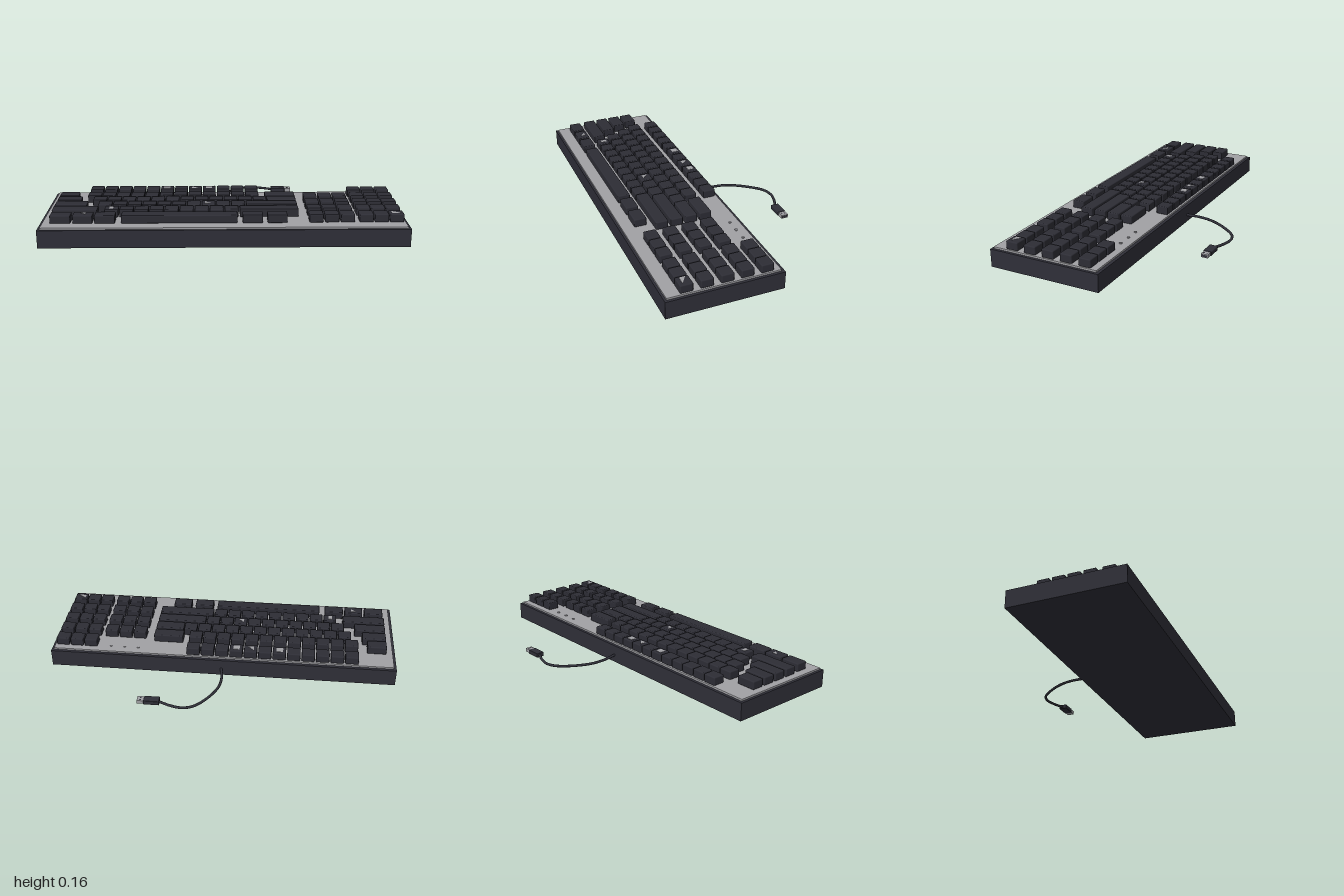
import * as THREE from 'three';
import { RoundedBoxGeometry } from 'three/addons/geometries/RoundedBoxGeometry.js';

const material = (name, color) => {
  const m = new THREE.MeshStandardMaterial({ color });
  m.name = name;
  return m;
};

export function createModel() {
  const model = new THREE.Group();
  const dark = material('charcoal case', 0x2f2f38);
  const keyDark = material('charcoal keys', 0x2d2d35);
  const grey = material('light grey', 0xa1a1a5);

  const add = (name, geometry, mat, x, y, z, parent = model) => {
    const mesh = new THREE.Mesh(geometry, mat);
    mesh.name = name;
    mesh.position.set(x, y, z);
    parent.add(mesh);
    return mesh;
  };
  const group = (name) => {
    const g = new THREE.Group();
    g.name = name;
    model.add(g);
    return g;
  };

  // Case and the plate lying on it
  add('case', new THREE.BoxGeometry(2, 0.1, 0.645), dark, 0, 0.05, 0.1775);
  add('topPlate', new THREE.BoxGeometry(1.97, 0.01, 0.615), grey, 0, 0.105, 0.18);

  // Keys: each spans x0..x1 and stands on the plate
  const keys = group('keys');
  const depth = 0.07, top = 0.155, bottom = 0.108;
  const key = (x0, x1, z) => add('key',
    new RoundedBoxGeometry(x1 - x0, top - bottom, depth, 2, 0.006),
    keyDark, (x0 + x1) / 2, (top + bottom) / 2, z, keys);
  const run = (x0, count, z, pitch = 0.083) => {
    for (let i = 0; i < count; i++) key(x0 + i * pitch, x0 + i * pitch + 0.076, z);
  };

  // Main rows: centre z, start x and number of small keys, spans of wide keys
  const rows = [
    { z: -0.083, start: -0.785, count: 12, wide: [] },
    { z: 0.032, start: -0.785, count: 12, wide: [[-0.948, -0.838], [0.24, 0.412]] },
    { z: 0.116, start: -0.745, count: 12, wide: [[-0.948, -0.811], [0.247, 0.412]] },
    { z: 0.2, start: -0.705, count: 10, wide: [[-0.948, -0.768], [0.126, 0.412]] },
    { z: 0.285, start: -0.66, count: 9, wide: [[-0.948, -0.7], [0.088, 0.412]] },
    { z: 0.384, start: 0, count: 0, wide: [[-0.943, -0.832], [-0.82, -0.713], [-0.702, -0.591],
      [-0.558, 0.072], [0.1, 0.21], [0.235, 0.343]] },
  ];
  for (const { z, start, count, wide } of rows) {
    run(start, count, z);
    for (const [x0, x1] of wide) key(x0, x1, z);
  }

  // Two blocks of keys on the model's left
  for (let r = 0; r < 5; r++) {
    const z = -0.055 + r * 0.1085;
    run(0.735, 3, z);
    if (r > 0) run(0.463, 3, z, 0.085);
  }

  // Plain square and triangular marks on a few keys
  const marks = group('keyMarks');
  const mark = (x, z, w, d, turn, triangle) => {
    const pts = [[-w / 2, -d / 2], [w / 2, -d / 2], [w / 2, d / 2], [-w / 2, d / 2]];
    if (triangle) pts.splice(2, 1);
    const shape = new THREE.Shape(pts.map(([a, b]) => new THREE.Vector2(a, b)));
    const geo = new THREE.ExtrudeGeometry(shape, { depth: 0.002, bevelEnabled: false });
    geo.rotateX(-Math.PI / 2).rotateY(turn);
    add('keyMark', geo, grey, x, top - 0.0005, z, marks);
  };
  mark(-0.334, -0.083, 0.038, 0.036, 0, false);
  mark(-0.085, -0.083, 0.036, 0.036, 0, false);
  mark(-0.623, 0.285, 0.022, 0.034, 0, false);
  mark(-0.167, -0.083, 0.036, 0.036, 0, true);
  mark(-0.088, 0.2, 0.034, 0.032, 0, true);
  mark(-0.767, 0.381, 0.032, 0.028, Math.PI, true);
  mark(0.936, 0.378, 0.048, 0.032, 0, true);

  // Row of indicator studs
  for (let i = 0; i < 3; i++) {
    add('indicator', new THREE.CylinderGeometry(0.008, 0.008, 0.006, 12), grey, 0.495 + i * 0.08, 0.112, -0.075);
  }

  // Cable leaving the back of the case
  const path = new THREE.CatmullRomCurve3([
    [0, 0.042, -0.135], [-0.012, 0.037, -0.23], [0, 0.032, -0.31], [0.055, 0.027, -0.41],
    [0.12, 0.025, -0.478], [0.18, 0.024, -0.496], [0.245, 0.024, -0.484], [0.32, 0.024, -0.452],
  ].map((p) => new THREE.Vector3(...p)));
  add('cable', new THREE.TubeGeometry(path, 48, 0.0075, 10), dark, 0, 0, 0);

  // Plug with its metal tip
  add('plugGrip', new RoundedBoxGeometry(0.088, 0.026, 0.048, 2, 0.004), dark, 0.354, 0.025, -0.452);
  add('plugTip', new THREE.BoxGeometry(0.04, 0.02, 0.04), grey, 0.415, 0.025, -0.452);
  add('plugOpening', new THREE.BoxGeometry(0.002, 0.012, 0.032), dark, 0.4345, 0.025, -0.452);
  for (const s of [-1, 1]) {
    add('plugHole', new THREE.BoxGeometry(0.009, 0.002, 0.008), dark, 0.416, 0.0345, -0.452 + s * 0.009);
  }

  return model;
}
